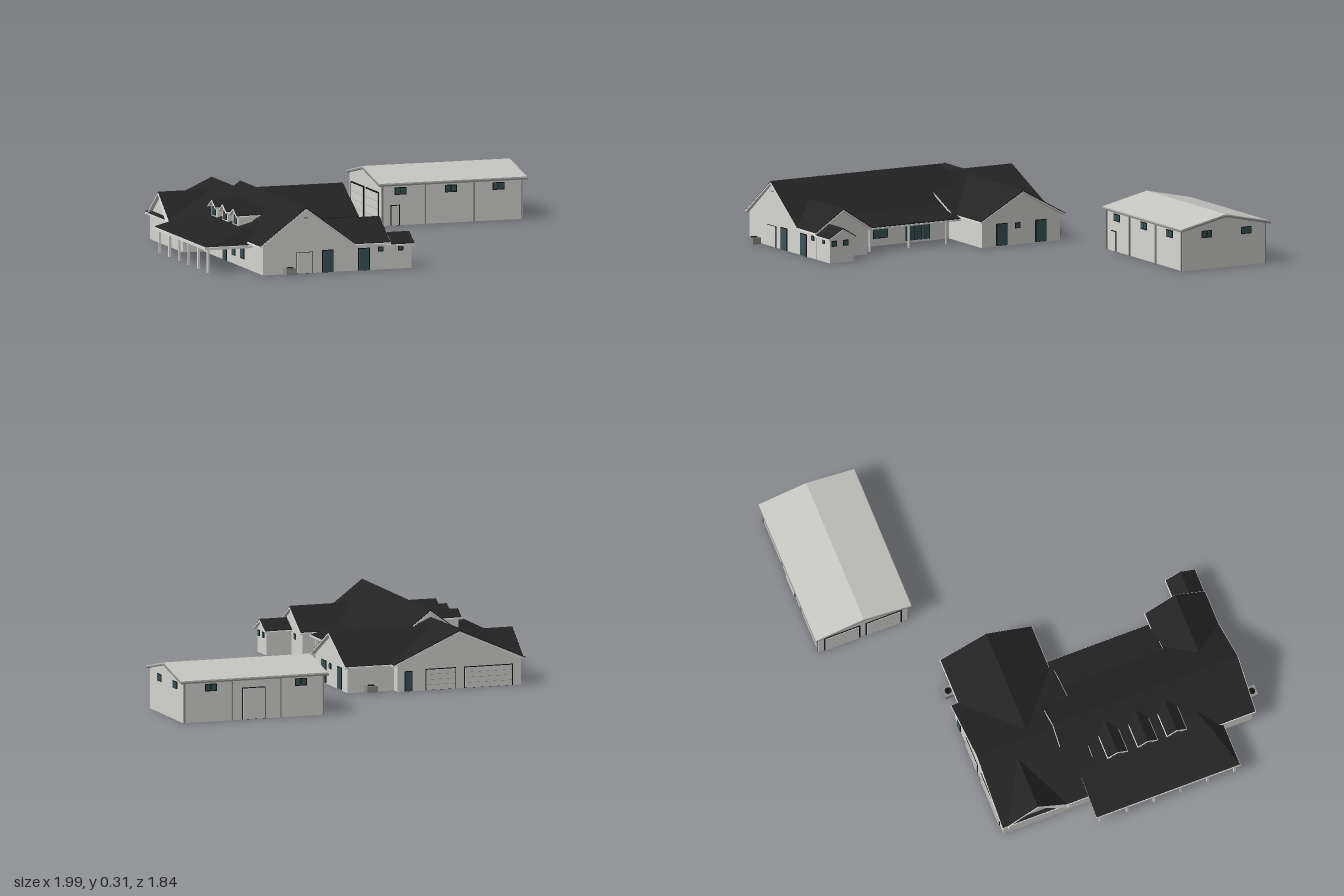
import * as THREE from 'three';

const mat = (name, color, side = THREE.FrontSide) => {
  const m = new THREE.MeshStandardMaterial({ color, side });
  m.name = name;
  return m;
};

export function createModel() {
  const WALL = mat('pale siding', 0xd6d6d3);
  const ROOF = mat('black shingle', 0x232323, THREE.DoubleSide);
  const SHEDROOF = mat('pale metal roof', 0xc6c7c3);
  const TRIM = mat('light trim', 0xdededb, THREE.DoubleSide);
  const BLACK = mat('black frame', 0x111313);
  const GLASS = mat('dark teal glass', 0x3c5357);
  const GREY = mat('equipment grey', 0x8b8d8a);

  const model = new THREE.Group();
  const group = (name) => {
    const g = new THREE.Group();
    g.name = name;
    model.add(g);
    return g;
  };
  const add = (parent, name, geo, m) => {
    const mesh = new THREE.Mesh(geo, m);
    mesh.name = name;
    parent.add(mesh);
    return mesh;
  };
  const box = (p, name, m, x0, x1, y0, y1, z0, z1) =>
    add(p, name, new THREE.BoxGeometry(x1 - x0, y1 - y0, z1 - z0), m)
      .position.set((x0 + x1) / 2, (y0 + y1) / 2, (z0 + z1) / 2);

  // Extrudes a cross-section [a, y] along the x or z axis from lo to hi
  function prism(points, axis, lo, hi) {
    const s = axis === 'x' ? -1 : 1;
    const shape = new THREE.Shape(points.map(([a, y]) => new THREE.Vector2(a * s, y)));
    const g = new THREE.ExtrudeGeometry(shape, { depth: hi - lo, bevelEnabled: false });
    g.translate(0, 0, lo);
    if (axis === 'x') g.rotateY(Math.PI / 2);
    return g;
  }
  // Sloped slab following a profile; valley(y) trims one end to the roof it meets
  function slab(profile, drop, thick, axis, lo, hi, valley, innerAtLo) {
    const top = profile.map(([a, y]) => [a, y - drop]);
    const under = profile.map(([a, y]) => [a, y - drop - thick]).reverse();
    const g = prism([...top, ...under], axis, lo, hi);
    if (valley) {
      const p = g.attributes.position, inner = innerAtLo ? lo : hi;
      for (let i = 0; i < p.count; i++)
        if (Math.abs(p.getX(i) - inner) < 1e-4) p.setX(i, valley(p.getY(i)));
      g.computeVertexNormals();
    }
    return g;
  }
  function roof(p, name, profile, axis, lo, hi, { valley, innerAtLo, m = ROOF, trim = TRIM } = {}) {
    const e = 0.003, last = profile.length - 1;
    add(p, name, slab(profile, 0, 0.006, axis, lo, hi, valley, innerAtLo), m);
    const wide = profile.map(([a, y], i) => [i === 0 ? a - e : i === last ? a + e : a, y]);
    const lo2 = valley && innerAtLo ? lo : lo - e, hi2 = valley && !innerAtLo ? hi : hi + e;
    add(p, name + ' fascia', slab(wide, 0.006, 0.007, axis, lo2, hi2, valley, innerAtLo), trim);
  }
  const gable = (mid, half, eave, ridge) => [[mid - half, eave], [mid, ridge], [mid + half, eave]];
  const house = (a0, a1, eave, mid, ridge) => [[a0, 0], [a1, 0], [a1, eave], [mid, ridge], [a0, eave]];

  // Thin plate on a wall: face is x+, x-, z+ or z-, u runs along the wall
  function plate(p, name, m, face, at, u0, u1, y0, y1, lift) {
    const s = face[1] === '+' ? 1 : -1;
    const lo = Math.min(at, at + s * lift), hi = Math.max(at, at + s * lift);
    if (face[0] === 'x') box(p, name, m, lo, hi, y0, y1, u0, u1);
    else box(p, name, m, u0, u1, y0, y1, lo, hi);
  }
  function opening(p, name, face, at, u0, u1, y0, y1, { panes = 1, fill = GLASS, rim = 0.004 } = {}) {
    plate(p, name + ' frame', BLACK, face, at, u0, u1, y0, y1, 0.003);
    const w = (u1 - u0 - rim) / panes;
    for (let i = 0; i < panes; i++)
      plate(p, name + ' panel', fill, face, at, u0 + rim + i * w, u0 + (i + 1) * w,
        y0 + (y0 > 0.01 ? rim : 0.001), y1 - rim, 0.005);
  }

  // ---- Main block: long ridge running front to back ----
  const main = group('mainHouse');
  add(main, 'main walls', prism(house(-0.76, -0.32, 0.135, -0.55, 0.296), 'z', -0.05, 0.85), WALL);
  roof(main, 'main roof', [[-0.777, 0.14], [-0.55, 0.31], [-0.315, 0.134]], 'z', -0.06, 0.86);
  roof(main, 'patio roof', [[-0.345, 0.157], [-0.19, 0.118]], 'z', 0.05, 0.57);
  for (const z of [0.12, 0.32, 0.53]) box(main, 'patio post', TRIM, -0.208, -0.2, 0, 0.11, z - 0.004, z + 0.004);
  opening(main, 'front door', 'z+', 0.85, -0.595, -0.515, 0, 0.1, { fill: WALL, rim: 0.002 });
  opening(main, 'front glass door', 'z+', 0.85, -0.47, -0.413, 0, 0.105);
  opening(main, 'front glass door', 'z+', 0.85, -0.292, -0.235, 0, 0.105);
  plate(main, 'gable vent', GREY, 'z+', 0.85, -0.56, -0.54, 0.258, 0.264, 0.004);
  opening(main, 'patio door', 'x+', -0.32, 0.495, 0.54, 0.015, 0.1);
  opening(main, 'patio window', 'x+', -0.32, 0.365, 0.445, 0.035, 0.1);
  opening(main, 'patio sliding door', 'x+', -0.32, 0.14, 0.27, 0.01, 0.1, { panes: 3 });

  // ---- West porch with hipped end, posts and openings ----
  const porch = group('porch');
  const sheet = (name, m, dy) => {
    const A = [-0.99, 0.122, -0.015], B = [-0.99, 0.122, 0.7], C = [-0.7, 0.2, 0.6],
      D = [-0.7, 0.2, -0.015], E = [-0.74, 0.122, 0.7];
    const g = new THREE.BufferGeometry();
    const v = [A, B, C, A, C, D, B, E, C].flatMap(([x, y, z]) => [x, y + dy, z]);
    g.setAttribute('position', new THREE.Float32BufferAttribute(v, 3));
    g.computeVertexNormals();
    add(porch, name, g, m);
  };
  sheet('porch roof', ROOF, 0);
  sheet('porch soffit', TRIM, -0.007);
  box(porch, 'porch beam', TRIM, -0.992, -0.984, 0.108, 0.12, -0.017, 0.702);
  box(porch, 'porch end beam', TRIM, -0.992, -0.76, 0.108, 0.12, 0.694, 0.702);
  for (let i = 0; i < 6; i++) {
    const z = 0.01 + i * 0.134;
    box(porch, 'porch post', TRIM, -0.975, -0.965, 0, 0.116, z - 0.005, z + 0.005);
  }
  opening(porch, 'porch door', 'x-', -0.76, 0.3, 0.35, 0, 0.1);
  for (const z of [0.12, 0.21, 0.42, 0.54]) opening(porch, 'porch window', 'x-', -0.76, z, z + 0.05, 0.04, 0.1);

  // ---- Dormers on the west slope ----
  const dormers = group('dormers');
  for (const z of [0.175, 0.325, 0.47]) {
    add(dormers, 'dormer walls', prism([[z - 0.04, 0.15], [z + 0.04, 0.15], [z + 0.04, 0.232],
      [z, 0.256], [z - 0.04, 0.232]], 'x', -0.76, -0.66), WALL);
    roof(dormers, 'dormer roof', gable(z, 0.048, 0.236, 0.267), 'x', -0.772, -0.62,
      { valley: (y) => -0.54 - (0.31 - y) / 0.75 });
    opening(dormers, 'dormer window', 'x-', -0.76, z - 0.022, z + 0.022, 0.19, 0.23, { panes: 2 });
  }

  // ---- Garage block at the back ----
  const garage = group('garage');
  add(garage, 'garage walls', prism(house(-0.862, -0.25, 0.125, -0.555, 0.262), 'z', -0.43, 0.03), WALL);
  roof(garage, 'garage roof', gable(-0.555, 0.325, 0.13, 0.275), 'z', -0.44, 0.065);
  add(garage, 'side gable walls', prism(house(-0.4, -0.13, 0.125, -0.265, 0.232), 'x', -0.865, -0.7), WALL);
  roof(garage, 'side gable roof', gable(-0.265, 0.147, 0.13, 0.245), 'x', -0.88, -0.63,
    { valley: (y) => -0.545 - (0.275 - y) / 0.45 });
  opening(garage, 'single garage door', 'z-', -0.43, -0.54, -0.39, 0, 0.1, { fill: WALL });
  opening(garage, 'double garage door', 'z-', -0.43, -0.82, -0.58, 0, 0.1, { fill: WALL });
  for (const [x0, x1] of [[-0.54, -0.39], [-0.82, -0.58]])
    for (const y of [0.025, 0.05, 0.074])
      plate(garage, 'garage door seam', GREY, 'z-', -0.43, x0 + 0.005, x1 - 0.005, y, y + 0.001, 0.006);
  opening(garage, 'garage side door', 'z-', -0.43, -0.325, -0.285, 0, 0.095);

  // ---- East wing at the back ----
  const wing = group('eastWing');
  add(wing, 'east wing walls', prism(house(-0.385, 0.035, 0.125, -0.178, 0.243), 'x', -0.45, -0.02), WALL);
  roof(wing, 'east wing roof', gable(-0.178, 0.227, 0.13, 0.257), 'x', -0.5, -0.003,
    { valley: (y) => -0.565 + (0.275 - y) / 0.45, innerAtLo: true });
  opening(wing, 'east wing door', 'x+', -0.02, -0.102, -0.042, 0.003, 0.108);
  opening(wing, 'east wing door', 'x+', -0.02, -0.312, -0.252, 0.003, 0.108);
  opening(wing, 'east wing window', 'x+', -0.02, -0.17, -0.142, 0.078, 0.105);

  // ---- Front east wing and its small end room ----
  const frontWing = group('frontWing');
  add(frontWing, 'front wing walls', prism(house(0.575, 0.85, 0.125, 0.711, 0.215), 'x', -0.4, -0.15), WALL);
  roof(frontWing, 'front wing roof', gable(0.711, 0.149, 0.13, 0.23), 'x', -0.43, -0.137,
    { valley: (y) => -0.56 + (0.31 - y) / 0.75, innerAtLo: true });
  add(frontWing, 'end room walls', prism(house(0.722, 0.848, 0.118, 0.785, 0.153), 'x', -0.16, -0.028), WALL);
  roof(frontWing, 'end room roof', gable(0.785, 0.073, 0.12, 0.164), 'x', -0.15, -0.017);
  for (const z of [0.765, 0.825]) opening(frontWing, 'end room window', 'x+', -0.028, z - 0.014, z + 0.014, 0.078, 0.105);
  opening(frontWing, 'front wing window', 'x+', -0.15, 0.657, 0.685, 0.078, 0.105);
  for (const x of [-0.18, -0.083]) opening(frontWing, 'small front window', 'z+', 0.849, x - 0.013, x + 0.013, 0.085, 0.108);

  // ---- Air conditioning units ----
  const units = group('airUnits');
  for (const [x, z] of [[-0.643, 0.895], [-0.125, -0.415]]) {
    box(units, 'unit', GREY, x - 0.026, x + 0.026, 0.004, 0.035, z - 0.022, z + 0.022);
    add(units, 'fan', new THREE.CylinderGeometry(0.016, 0.016, 0.003, 16), BLACK).position.set(x, 0.036, z);
  }

  // ---- Detached shed ----
  const shed = group('shed');
  add(shed, 'shed walls', prism(house(-0.9, -0.457, 0.2, -0.68, 0.242), 'x', 0.285, 0.982), WALL);
  roof(shed, 'shed roof', gable(-0.68, 0.238, 0.2, 0.252), 'x', 0.272, 0.997, { m: SHEDROOF, trim: GREY });
  for (const x of [0.38, 0.627, 0.862]) opening(shed, 'shed front window', 'z+', -0.457, x - 0.029, x + 0.029, 0.143, 0.178, { panes: 2 });
  opening(shed, 'shed front door', 'z+', -0.457, 0.33, 0.376, 0, 0.096, { fill: WALL });
  for (const z of [-0.585, -0.797]) opening(shed, 'shed end window', 'x+', 0.982, z - 0.028, z + 0.028, 0.148, 0.182, { panes: 2 });
  for (const x of [0.4, 0.845]) opening(shed, 'shed back window', 'z-', -0.9, x - 0.029, x + 0.029, 0.143, 0.178, { panes: 2 });
  opening(shed, 'shed back door', 'z-', -0.9, 0.575, 0.69, 0, 0.15, { fill: WALL });
  for (const [z0, z1] of [[-0.665, -0.485], [-0.872, -0.692]]) {
    opening(shed, 'shed overhead door', 'x-', 0.285, z0, z1, 0, 0.155, { fill: WALL, rim: 0.007 });
    for (const y of [0.037, 0.074, 0.111])
      plate(shed, 'overhead door seam', GREY, 'x-', 0.285, z0 + 0.007, z1 - 0.007, y, y + 0.001, 0.006);
  }
  for (const x of [0.29, 0.5, 0.74, 0.976])
    for (const z of [-0.904, -0.453]) box(shed, 'downpipe', GREY, x - 0.003, x + 0.003, 0, 0.195, z - 0.003, z + 0.003);

  return model;
}
